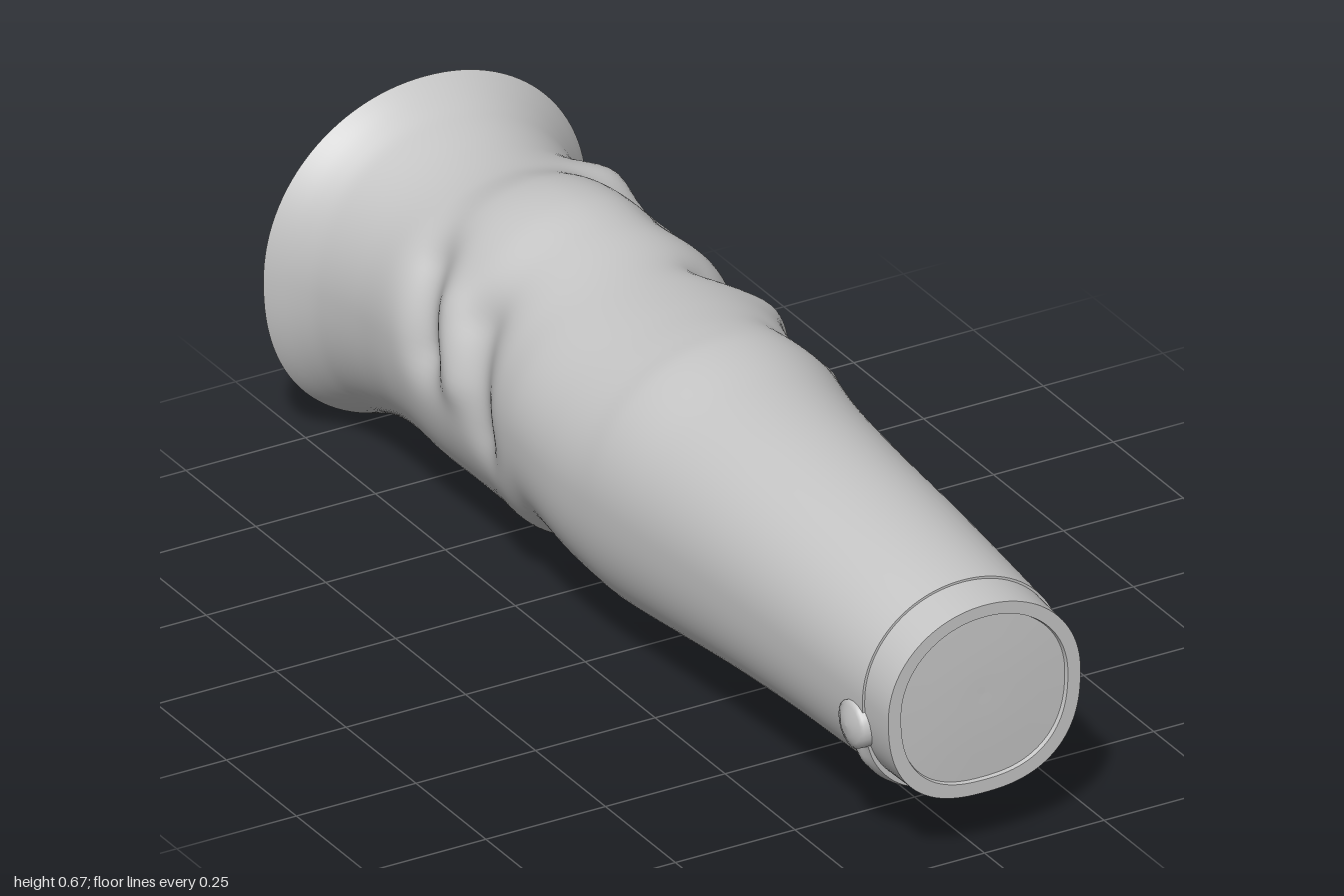
import * as THREE from 'three';

const SEG = 112;

// Sleeve outline stations: z, min x, max x, bottom y, top y
const STATIONS = [
  [-1.00, -0.338, 0.338, 0.002, 0.674], [-0.95, -0.303, 0.303, 0.022, 0.650],
  [-0.90, -0.281, 0.281, 0.040, 0.632], [-0.80, -0.264, 0.262, 0.064, 0.615],
  [-0.70, -0.262, 0.274, 0.070, 0.618], [-0.60, -0.262, 0.288, 0.056, 0.644],
  [-0.50, -0.256, 0.294, 0.050, 0.648], [-0.40, -0.254, 0.292, 0.050, 0.630],
  [-0.30, -0.270, 0.284, 0.068, 0.611], [-0.22, -0.276, 0.294, 0.106, 0.605],
  [-0.10, -0.276, 0.302, 0.082, 0.607], [0.00, -0.270, 0.296, 0.066, 0.613],
  [0.06, -0.266, 0.272, 0.068, 0.614], [0.20, -0.254, 0.246, 0.082, 0.596],
  [0.40, -0.239, 0.227, 0.100, 0.580], [0.60, -0.226, 0.219, 0.110, 0.562],
  [0.80, -0.215, 0.211, 0.114, 0.540], [1.00, -0.204, 0.204, 0.123, 0.511],
];

// Cloth folds: side, start z y, end z y, outward height, width
const FOLDS = [
  // dip and crossing creases ahead of the elbow
  [1, -0.02, 0.53, -0.11, 0.46, -0.026, 0.055], [1, -0.11, 0.43, -0.26, 0.29, -0.026, 0.048],
  [1, -0.06, 0.38, 0.10, 0.25, -0.016, 0.060], [1, -0.18, 0.50, -0.22, 0.42, 0.010, 0.045],
  // deep notch behind it
  [1, -0.28, 0.53, -0.32, 0.36, -0.040, 0.046],
  // flattened pouch above a rounded ridge that climbs to the rear
  [1, -0.48, 0.56, -0.62, 0.56, -0.026, 0.070], [1, -0.42, 0.38, -0.58, 0.40, 0.012, 0.060],
  [1, -0.58, 0.41, -0.73, 0.50, 0.014, 0.050], [1, -0.71, 0.53, -0.73, 0.52, 0.024, 0.050],
  // low bulge under the ridge
  [1, -0.30, 0.26, -0.50, 0.27, 0.014, 0.060],
  // creases on the other side
  [-1, -0.62, 0.52, -0.57, 0.38, -0.032, 0.055], [-1, -0.42, 0.48, -0.36, 0.30, -0.024, 0.055],
  [-1, -0.52, 0.48, -0.47, 0.36, 0.014, 0.045],
  // rolled hem under each button
  [1, 0.89, 0.20, 0.90, 0.14, 0.012, 0.025], [-1, 0.89, 0.20, 0.90, 0.14, 0.012, 0.025],
];

// Smooth interpolation of the stations
function outline(z) {
  let i = 0;
  while (i < STATIONS.length - 2 && z > STATIONS[i + 1][0]) i++;
  const at = (k) => STATIONS[Math.min(Math.max(k, 0), STATIONS.length - 1)];
  const [p, a, b, n] = [at(i - 1), at(i), at(i + 1), at(i + 2)];
  const h = b[0] - a[0], t = (z - a[0]) / h;
  return [1, 2, 3, 4].map((k) => {
    const m0 = (b[k] - p[k]) / (b[0] - p[0]) * h, m1 = (n[k] - a[k]) / (n[0] - a[0]) * h;
    return (2 * t ** 3 - 3 * t * t + 1) * a[k] + (t ** 3 - 2 * t * t + t) * m0
      + (3 * t * t - 2 * t ** 3) * b[k] + (t ** 3 - t * t) * m1;
  });
}

// Sum of fold heights at a point of the sleeve
function foldHeight(side, z, y) {
  let sum = 0;
  for (const [s, z1, y1, z2, y2, height, width] of FOLDS) {
    if (s !== side) continue;
    const dz = z2 - z1, dy = y2 - y1;
    const t = THREE.MathUtils.clamp(((z - z1) * dz + (y - y1) * dy) / (dz * dz + dy * dy), 0, 1);
    const d = Math.hypot(z - z1 - dz * t, y - y1 - dy * t) / width;
    sum += height * Math.exp(-d * d);
  }
  return sum;
}

// One closed cross-section, squarer below than above
function ring(section, z = section, scale = 1, folded = false) {
  const [x0, x1, y0, y1] = outline(section);
  const cx = (x0 + x1) / 2, cy = (y0 + y1) / 2 + 0.008;
  return Array.from({ length: SEG }, (_, j) => {
    const a = j / SEG * Math.PI * 2, c = Math.cos(a), s = Math.sin(a);
    const n = s < 0 ? 2.36 + 0.1 * section : 2.05;
    const r = (Math.abs(c) ** n + Math.abs(s) ** n) ** (-1 / n);
    let dx = c * r * (x1 - x0) / 2, dy = s * r * (s < 0 ? cy - y0 : y1 - cy);
    if (folded) {
      const k = 1 + foldHeight(Math.sign(c), z, cy + dy) * Math.min(1, Math.abs(c) * 2) / Math.hypot(dx, dy);
      dx *= k;
      dy *= k;
    }
    return [cx + dx * scale, cy + dy * scale, z];
  });
}

// Skin over a list of cross-sections; a repeated section makes a sharp edge
function loft(rings) {
  const index = [];
  for (let i = 0; i < rings.length - 1; i++) {
    for (let j = 0; j < SEG; j++) {
      const k = (j + 1) % SEG;
      const a = i * SEG + j, b = i * SEG + k, c = a + SEG, d = b + SEG;
      index.push(a, b, d, a, d, c);
    }
  }
  const g = new THREE.BufferGeometry();
  g.setAttribute('position', new THREE.Float32BufferAttribute(rings.flat(2), 3));
  g.setIndex(index);
  g.computeVertexNormals();
  return g;
}

export function createModel() {
  const model = new THREE.Group();
  model.name = 'sleeve';
  const cloth = new THREE.MeshStandardMaterial({ color: 0xc4c4c4, side: THREE.DoubleSide });
  cloth.name = 'grey cloth';
  const add = (name, geometry) => {
    const mesh = new THREE.Mesh(geometry, cloth);
    mesh.name = name;
    model.add(mesh);
    return mesh;
  };

  // Creased sleeve with a flared opening
  const rows = [];
  for (let i = 0; i <= 170; i++) rows.push(ring(-1 + 1.92 * i / 170, undefined, 1, true));
  rows.push(rows[170], ring(0.92, 0.92, 0.97));
  add('sleeveBody', loft(rows));

  // Shallow hollow at the flared opening, from its deepest point out to the rim
  const bowl = [];
  for (let i = 0; i <= 24; i++) {
    const s = 0.001 + 0.959 * i / 24;
    bowl.push(ring(-1, -0.992 + 0.15 * (1 - (s / 0.96) ** 2), s));
  }
  add('flaredOpening', loft(bowl));
  // Rim lip between hollow and sleeve
  add('openingRim', loft([ring(-1, -0.992, 0.96), ring(-1, -1, 0.975), ring(-1, -1, 1)]));

  // Cuff with a flat edge, shallow groove and closed end
  const edge = ring(1, 1, 0.985), inner = ring(1, 1, 0.855), floor = ring(1, 0.992, 0.845);
  add('cuff', loft([ring(0.9, 0.9, 0.975), edge, edge, inner, inner, floor, floor,
    ring(1, 0.994, 0.6), ring(1, 0.996, 0.3), ring(1, 0.995, 0.001)]));

  // Domed button on each side of the cuff
  const profile = [[0.048, -0.02], [0.046, 0.009], [0.036, 0.012], [0.022, 0.019], [0, 0.021]]
    .map(([r, h]) => new THREE.Vector2(r, h));
  for (const side of [1, -1]) {
    const button = add(side > 0 ? 'leftButton' : 'rightButton', new THREE.LatheGeometry(profile, 20));
    button.position.set(side * 0.205, 0.272, 0.89);
    button.rotation.z = -side * Math.PI / 2;
  }
  return model;
}
